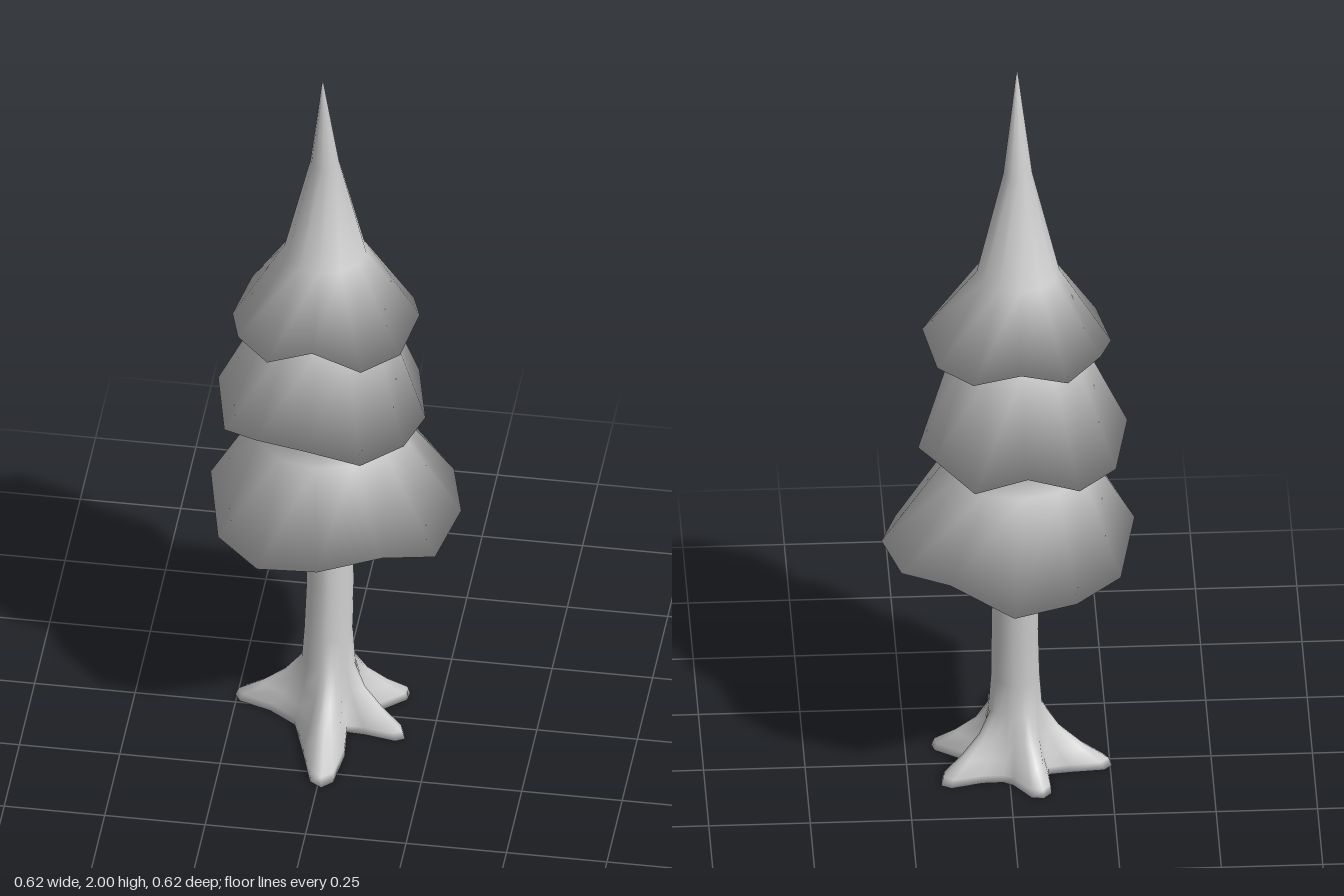
import * as THREE from 'three';

const SIDES = 12;
const material = new THREE.MeshStandardMaterial({ color: 0xcccccc, side: THREE.DoubleSide });

// Skin over closed rings of points, smooth across every edge:
// each corner takes the plain average of the faces around it
function loft(name, rings) {
  const points = rings.flat();
  const n = rings[0].length;
  const index = [];
  for (let r = 0; r < rings.length - 1; r++) {
    for (let i = 0; i < n; i++) {
      const a = r * n + i, b = r * n + (i + 1) % n;
      index.push(a, a + n, b, b, a + n, b + n);
    }
  }
  const normals = points.map(() => new THREE.Vector3());
  const face = new THREE.Triangle();
  const normal = new THREE.Vector3();
  for (let i = 0; i < index.length; i += 3) {
    const corners = index.slice(i, i + 3);
    face.set(...corners.map((c) => points[c])).getNormal(normal);
    corners.forEach((c) => normals[c].add(normal));
  }
  const geometry = new THREE.BufferGeometry().setFromPoints(points);
  geometry.setIndex(index);
  geometry.setAttribute('normal', new THREE.Float32BufferAttribute(
    normals.flatMap((v) => v.normalize().toArray()), 3));
  const mesh = new THREE.Mesh(geometry, material);
  mesh.name = name;
  return mesh;
}

// Ring around (cx, cz); y is a number or one height per corner
function ring(cx, cz, radius, y) {
  return Array.from({ length: SIDES }, (_, i) => {
    const a = (i / SIDES) * Math.PI * 2;
    return new THREE.Vector3(cx + radius * Math.cos(a), Array.isArray(y) ? y[i] : y, cz + radius * Math.sin(a));
  });
}

// Hem heights of the three tiers, every 30 degrees from +x towards +z
const LOWER_HEM = [0.66, 0.63, 0.70, 0.67, 0.63, 0.63, 0.71, 0.635, 0.635, 0.625, 0.70, 0.665];
const MIDDLE_HEM = [0.935, 0.94, 0.94, 0.995, 0.99, 0.94, 1.0, 0.94, 0.94, 1.0, 0.94, 0.98];
const UPPER_HEM = [1.27, 1.23, 1.23, 1.3, 1.235, 1.24, 1.22, 1.25, 1.23, 1.275, 1.23, 1.23];

// One continuous skin: hollow underside, hem and skirt of each tier in turn
function createFoliage() {
  return loft('foliage', [
    [-0.022, -0.02, 0.05, 0.78],
    [0, 0, 0.312, LOWER_HEM],
    [-0.025, 0, 0.182, 0.89],
    [-0.025, 0.002, 0.135, 1.03],
    [-0.036, -0.005, 0.258, MIDDLE_HEM],
    [-0.025, 0.005, 0.158, 1.23],
    [-0.025, 0.005, 0.118, 1.315],
    [-0.022, 0.017, 0.233, UPPER_HEM],
    [-0.025, 0.008, 0.102, 1.44],
    [-0.025, 0.017, 0.036, 1.72],
    [-0.025, 0.055, 0.001, 2],
  ].map((r) => ring(...r)));
}

// Trunk flaring into five roots; each root: tip x, tip z, width
const BASE = new THREE.Vector2(-0.02, 0);
const ROOTS = [[0.185, 0.085, 1], [0.01, 0.31, 1], [-0.255, -0.03, 1], [-0.08, -0.17, 1.6], [0.17, -0.1, 1.2]];

function createTrunk() {
  // Columns: valley, flank, tip edge, tip, tip edge, flank for each root
  const roots = ROOTS.map(([x, z, width]) => {
    const v = new THREE.Vector2(x, z).sub(BASE);
    return { angle: v.angle(), reach: v.length(), width };
  }).sort((a, b) => a.angle - b.angle);
  const columns = [];
  roots.forEach(({ angle, reach, width }, i) => {
    const prev = roots[(i + roots.length - 1) % roots.length].angle - (i === 0 ? Math.PI * 2 : 0);
    columns.push({ angle: (prev + angle) / 2, reach: 0.1, lobe: 0 });
    for (const [offset, scale, lobe] of [[-0.28, 0.6, 0.5], [-0.1, 0.93, 0.9], [0, 1, 1], [0.1, 0.93, 0.9], [0.28, 0.6, 0.5]]) {
      columns.push({ angle: angle + offset * width, reach: reach * scale, lobe });
    }
  });
  const at = (c, cx, cz, r, y) =>
    new THREE.Vector3(cx + r * Math.cos(c.angle), y, cz + r * Math.sin(c.angle));

  // t: share of the reach beyond the stem, y: height in valleys and along root tops
  const flare = [
    { t: 1, valley: 0, top: 0 },
    { t: 0.95, valley: 0.02, top: 0.022 },
    { t: 0.6, valley: 0.05, top: 0.06 },
    { t: 0.25, valley: 0.1, top: 0.11 },
  ].map(({ t, valley, top }) => columns.map((c) => {
    const y = THREE.MathUtils.lerp(valley, top, c.lobe);
    return at(c, BASE.x, BASE.y, THREE.MathUtils.lerp(0.066, c.reach, t), y);
  }));
  const stem = [
    [-0.018, 0.004, 0.066, 0.17], [-0.018, 0.002, 0.06, 0.26], [-0.016, -0.012, 0.058, 0.4],
    [-0.02, -0.022, 0.058, 0.64], [-0.022, -0.022, 0.052, 0.8],
  ].map(([x, z, r, y]) => columns.map((c) => at(c, x, z, r, y)));
  const underside = columns.map((c) => at(c, BASE.x, BASE.y, 0.001, 0.01));
  return loft('trunkAndRoots', [underside, ...flare, ...stem]);
}

export function createModel() {
  const tree = new THREE.Group();
  tree.name = 'tree';
  tree.add(createTrunk(), createFoliage());
  return tree;
}
